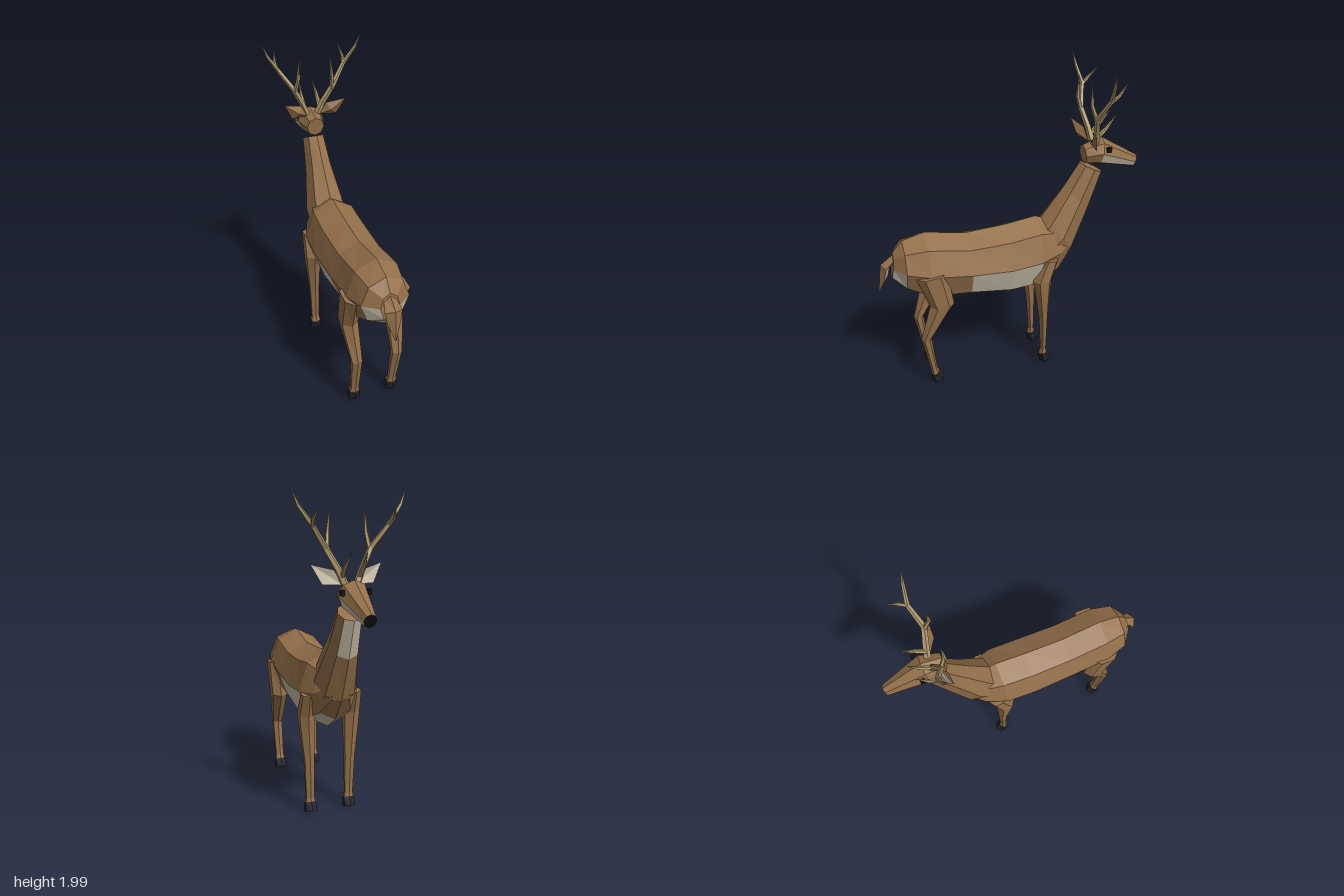
import * as THREE from 'three';

const mat = (name, color) => Object.assign(new THREE.MeshStandardMaterial({ color, flatShading: true }), { name });
const V = (x, y, z) => new THREE.Vector3(x, y, z);

export function createModel() {
  const model = new THREE.Group();
  model.name = 'deer';
  const mats = [
    mat('brownCoat', 0x94704a),
    mat('creamFur', 0xc8bda8),
    mat('antlerBone', 0xae986a),
    mat('darkHoof', 0x22222a),
    mat('black', 0x101014),
  ];
  const BROWN = 0, CREAM = 1, BONE = 2, HOOF = 3, BLACK = 4;

  // Makes a faceted mesh from triangles [a, b, c, colour], turned to face outward
  function solid(name, tris, parent = model) {
    let volume = 0;
    for (const [a, b, c] of tris) volume += a.dot(b.clone().cross(c));
    const used = [...new Set(tris.map(t => t[3]))];
    const geo = new THREE.BufferGeometry();
    const pos = [];
    used.forEach((m, i) => {
      const start = pos.length / 3;
      for (const [a, b, c, k] of tris) {
        if (k !== m) continue;
        for (const p of volume > 0 ? [a, b, c] : [a, c, b]) pos.push(p.x, p.y, p.z);
      }
      geo.addGroup(start, pos.length / 3 - start, i);
    });
    geo.setAttribute('position', new THREE.Float32BufferAttribute(pos, 3));
    geo.computeVertexNormals();
    const mesh = new THREE.Mesh(geo, used.length > 1 ? used.map(m => mats[m]) : mats[used[0]]);
    mesh.name = name;
    parent.add(mesh);
    return mesh;
  }

  // Skins a row of rings; colour(i, j) picks the colour of side j in segment i
  function loft(name, rings, colour, startCap, endCap, parent) {
    const tris = [], n = rings[0].length;
    for (let i = 0; i < rings.length - 1; i++) {
      for (let j = 0; j < n; j++) {
        const k = (j + 1) % n, A = rings[i], B = rings[i + 1], c = colour(i, j);
        tris.push([A[j], A[k], B[k], c], [A[j], B[k], B[j], c]);
      }
    }
    const last = rings[rings.length - 1];
    for (let j = 1; j < n - 1; j++) {
      tris.push([rings[0][0], rings[0][j + 1], rings[0][j], startCap]);
      tris.push([last[0], last[j], last[j + 1], endCap]);
    }
    return solid(name, tris, parent);
  }

  // Elliptical ring between two points in the z-y plane, centred on x = cx
  const ring = (n, cx, [z0, y0, z1, y1, rx]) => Array.from({ length: n }, (_, j) => {
    const a = j / n * Math.PI * 2, t = (1 - Math.cos(a)) / 2;
    return V(cx + Math.sin(a) * rx, y0 + (y1 - y0) * t, z0 + (z1 - z0) * t);
  });

  // Torso: top z, top y, bottom z, bottom y, half width
  const torso = [
    [0.75, 0.93, 0.77, 0.75, 0.06], [0.69, 1.0, 0.69, 0.675, 0.15],
    [0.55, 1.038, 0.55, 0.59, 0.185], [0.29, 0.995, 0.29, 0.575, 0.187],
    [0.03, 1.015, 0.03, 0.54, 0.192], [-0.17, 1.045, -0.16, 0.55, 0.187],
    [-0.3, 1.0, -0.3, 0.64, 0.14], [-0.38, 0.95, -0.41, 0.78, 0.075],
  ].map(r => ring(8, 0, r));
  loft('torso', torso, (i, j) => {
    const bottom = j === 3 || j === 4, lowerSide = j === 2 || j === 5;
    if (bottom && i < 6) return CREAM;
    return lowerSide && (i === 0 || i === 3 || i === 4) ? CREAM : BROWN;
  }, BROWN, BROWN);

  // Neck with pale upper throat
  loft('neck', [
    [-0.46, 1.375, -0.61, 1.305, 0.073], [-0.355, 1.22, -0.53, 1.07, 0.09],
    [-0.225, 1.05, -0.415, 0.79, 0.13], [-0.17, 0.98, -0.35, 0.74, 0.13],
  ].map(r => ring(8, 0, r)), (i, j) => i === 0 && (j === 3 || j === 4) ? CREAM : BROWN, BROWN, BROWN);

  // Head with pale cheeks and black nose
  loft('head', [
    [-0.475, 1.49, -0.49, 1.365, 0.058], [-0.6, 1.53, -0.575, 1.355, 0.087],
    [-0.85, 1.385, -0.82, 1.31, 0.037],
  ].map(r => ring(8, 0, r)), (i, j) => i === 1 && (j === 2 || j === 5) ? CREAM : BROWN, BROWN, BLACK);

  // Tail, brown outside and cream inside
  loft('tail', [
    [0.73, 0.93, 0.73, 0.88, 0.03], [0.83, 0.855, 0.775, 0.83, 0.055],
    [0.842, 0.77, 0.79, 0.77, 0.04], [0.852, 0.67, 0.846, 0.67, 0.004],
  ].map(r => ring(4, 0, r)), (i, j) => j === 1 || j === 2 ? CREAM : BROWN, BROWN, BROWN);

  // Tapering bone along a path of [x, y, z, radius]
  function bone(name, path, s, parent) {
    const pts = path.map(p => V(p[0] * s, p[1], p[2]));
    const rings = pts.map((p, i) => {
      const dir = pts[Math.min(i + 1, pts.length - 1)].clone().sub(pts[Math.max(i - 1, 0)]).normalize();
      const u = V(0, 0, 1).cross(dir).normalize(), v = dir.clone().cross(u);
      return Array.from({ length: 5 }, (_, j) => {
        const a = j / 5 * Math.PI * 2, r = path[i][3];
        return p.clone().addScaledVector(u, Math.cos(a) * r).addScaledVector(v, Math.sin(a) * r);
      });
    });
    loft(name, rings, () => BONE, BONE, BONE, parent);
  }

  // Leg rings: back z, y, front z, y, half width, x
  const frontLeg = [
    [-0.175, 0.8, -0.28, 0.79, 0.045, 0.148], [-0.11, 0.65, -0.24, 0.65, 0.055, 0.147],
    [-0.13, 0.55, -0.232, 0.55, 0.05, 0.143], [-0.163, 0.35, -0.225, 0.35, 0.036, 0.133],
    [-0.178, 0.1, -0.218, 0.1, 0.03, 0.128], [-0.167, 0.06, -0.225, 0.08, 0.037, 0.128],
  ];
  const hindLeg = [
    [0.64, 0.805, 0.45, 0.825, 0.055, 0.157], [0.565, 0.59, 0.41, 0.59, 0.058, 0.147],
    [0.63, 0.35, 0.565, 0.35, 0.037, 0.133], [0.58, 0.1, 0.537, 0.11, 0.03, 0.128],
    [0.577, 0.06, 0.525, 0.08, 0.037, 0.128],
  ];
  const frontHoof = [[-0.165, 0.06, -0.225, 0.082, 0.039, 0.128], [-0.173, 0.002, -0.255, 0.03, 0.042, 0.128]];
  const hindHoof = [[0.58, 0.06, 0.525, 0.082, 0.039, 0.128], [0.574, 0.002, 0.493, 0.03, 0.042, 0.128]];

  for (const s of [1, -1]) {
    const side = s > 0 ? 'Left' : 'Right';
    const limb = (name, rows, c) => loft(name + side, rows.map(r => ring(6, r[5] * s, r)), () => c, c, c);
    limb('frontLeg', frontLeg, BROWN);
    limb('hindLeg', hindLeg, BROWN);
    limb('frontHoof', frontHoof, HOOF);
    limb('hindHoof', hindHoof, HOOF);

    // Eye
    const eye = new THREE.Mesh(new THREE.BoxGeometry(0.022, 0.03, 0.03), mats[BLACK]);
    eye.name = 'eye' + side;
    eye.position.set(0.077 * s, 1.465, -0.622);
    model.add(eye);

    // Ear: pale hollow facing forward, brown ridge behind
    const rim = [V(0.045 * s, 1.495, -0.53), V(0.085 * s, 1.575, -0.515), V(0.208 * s, 1.605, -0.473), V(0.15 * s, 1.495, -0.505)];
    const hollow = V(0.11 * s, 1.54, -0.5), ridge = V(0.11 * s, 1.535, -0.475);
    const ear = [];
    rim.forEach((p, i) => {
      const q = rim[(i + 1) % 4];
      ear.push([p, q, hollow, CREAM], [q, p, ridge, BROWN]);
    });
    solid('ear' + side, ear);

    // Antler: curved beam and three tines
    const antler = new THREE.Group();
    antler.name = 'antler' + side;
    model.add(antler);
    bone('beam', [[0.035, 1.5, -0.55, 0.022], [0.07, 1.58, -0.535, 0.02], [0.13, 1.69, -0.508, 0.018],
      [0.22, 1.82, -0.548, 0.014], [0.29, 1.92, -0.53, 0.01], [0.32, 1.995, -0.517, 0.002]], s, antler);
    bone('browTine', [[0.05, 1.54, -0.545, 0.015], [0.053, 1.6, -0.605, 0.012], [0.045, 1.68, -0.67, 0.002]], s, antler);
    bone('middleTine', [[0.125, 1.67, -0.51, 0.015], [0.112, 1.77, -0.475, 0.012], [0.102, 1.89, -0.475, 0.002]], s, antler);
    bone('upperTine', [[0.218, 1.81, -0.545, 0.012], [0.228, 1.85, -0.59, 0.01], [0.214, 1.915, -0.645, 0.002]], s, antler);
  }
  return model;
}
